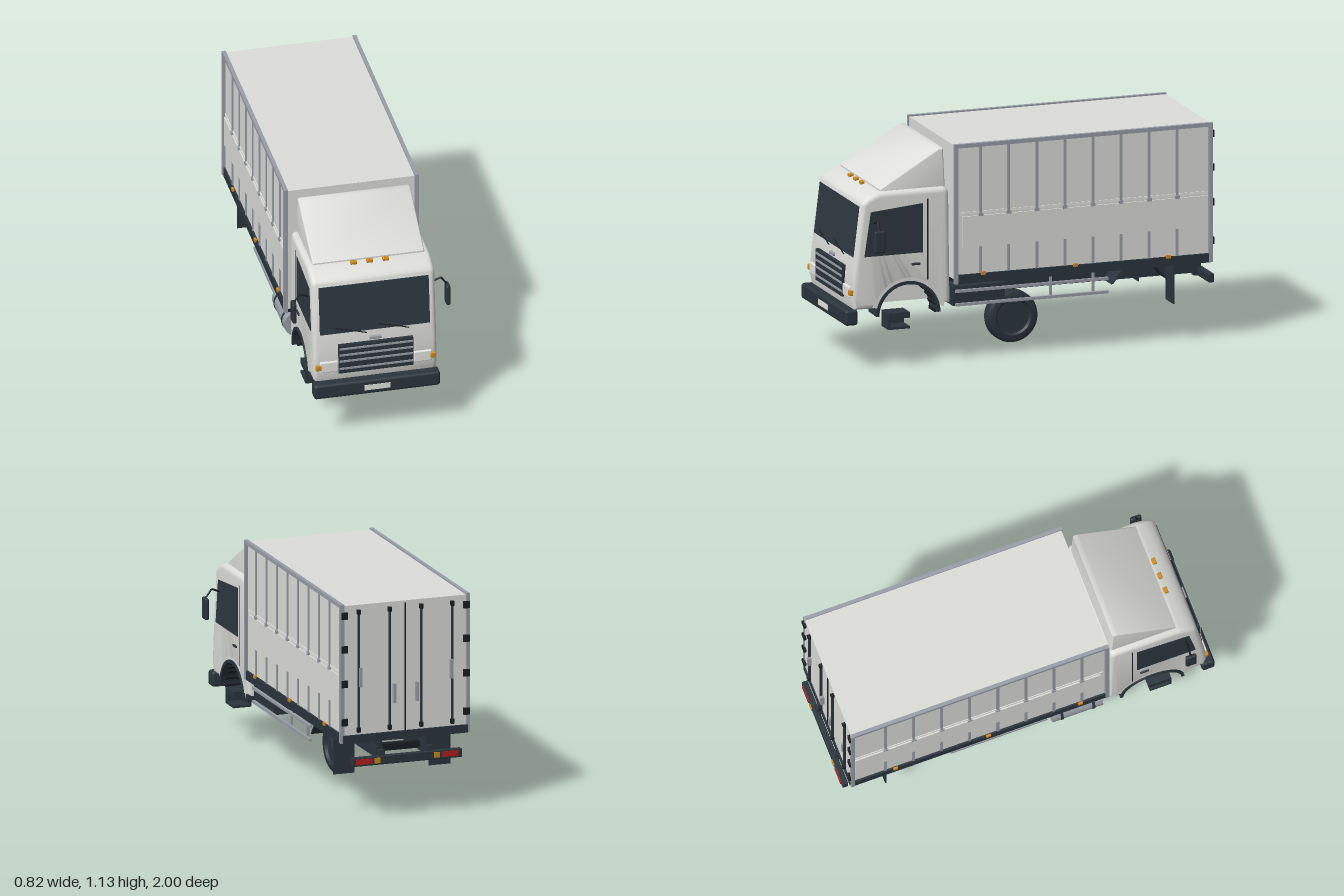
import * as THREE from 'three';
import { toCreasedNormals } from 'three/addons/utils/BufferGeometryUtils.js';
import { RoundedBoxGeometry } from 'three/addons/geometries/RoundedBoxGeometry.js';

const material = (name, color) => {
  const m = new THREE.MeshStandardMaterial({ color });
  m.name = name;
  return m;
};

export function createModel() {
  const white = material('white paint', 0xdededb);
  const dark = material('dark plastic', 0x2b353d);
  const glass = material('tinted glass', 0x2d3840);
  const black = material('black underside', 0x1a1f23);
  const metal = material('grey metal', 0x9a9fa8);
  const orange = material('orange lamp', 0xd08a1c);
  const red = material('red lamp', 0xb3201c);
  const lens = material('clear lens', 0xe6e6e2);

  const truck = new THREE.Group();
  truck.name = 'boxTruck';

  const add = (name, geo, mat, x = 0, y = 0, z = 0) => {
    const mesh = new THREE.Mesh(geo, mat);
    mesh.name = name;
    mesh.position.set(x, y, z);
    truck.add(mesh);
    return mesh;
  };
  // Box given by its extents on each axis
  const box = (name, mat, [x0, x1], [y0, y1], [z0, z1], round = 0) => {
    const size = [Math.abs(x1 - x0), y1 - y0, Math.abs(z1 - z0)];
    const geo = round ? new RoundedBoxGeometry(...size, 3, round) : new THREE.BoxGeometry(...size);
    return add(name, geo, mat, (x0 + x1) / 2, (y0 + y1) / 2, (z0 + z1) / 2);
  };
  // Side profile drawn in (z, y), extruded across x and centred on cx
  const slab = (name, mat, shape, width, cx = 0, bevel = 0) => {
    const geo = new THREE.ExtrudeGeometry(shape, {
      depth: width - 2 * bevel, curveSegments: 20, bevelEnabled: bevel > 0,
      bevelSize: bevel, bevelThickness: bevel, bevelOffset: -bevel, bevelSegments: 4,
    });
    geo.translate(0, 0, bevel - width / 2);
    geo.rotateY(-Math.PI / 2);
    return add(name, toCreasedNormals(geo, 0.6), mat, cx);
  };
  const poly = (pts) => new THREE.Shape(pts.map(([z, y]) => new THREE.Vector2(z, y)));
  const tube = (name, mat, pts, r) => {
    const path = new THREE.CurvePath();
    const v = pts.map((p) => new THREE.Vector3(...p));
    for (let i = 1; i < v.length; i++) path.add(new THREE.LineCurve3(v[i - 1], v[i]));
    return add(name, new THREE.TubeGeometry(path, 16, r, 8), mat);
  };
  const archZ = 0.66, archY = 0.27, archR = 0.165;
  const archBand = (r0, r1, a) => {
    const s = new THREE.Shape();
    s.absarc(archZ, archY, r1, a, Math.PI - a, false);
    s.absarc(archZ, archY, r0, Math.PI - a, a, true);
    return s;
  };

  // Cab shell with wheel arches
  const cab = new THREE.Shape();
  cab.moveTo(0.43, 0.31);
  cab.lineTo(0.5, 0.31);
  cab.absarc(archZ, archY, archR, Math.PI - 0.245, 0.245, true);
  cab.lineTo(0.945, 0.31);
  cab.lineTo(0.96, 0.37);
  cab.lineTo(0.95, 0.5);
  cab.lineTo(0.907, 0.85);
  cab.quadraticCurveTo(0.9, 0.885, 0.81, 0.912);
  cab.lineTo(0.47, 0.912);
  cab.quadraticCurveTo(0.44, 0.91, 0.437, 0.87);
  cab.closePath();
  slab('cab', white, cab, 0.64, 0, 0.025);
  box('cabFloor', white, [-0.2, 0.2], [0.312, 0.46], [0.48, 0.85]);

  // Roof wind deflector
  slab('windDeflector', white,
    poly([[0.45, 0.905], [0.8, 0.905], [0.8, 0.92], [0.485, 1.107], [0.46, 1.107]]), 0.58, 0, 0.008);
  for (const x of [-0.083, 0, 0.083])
    box('roofLamp', orange, [x - 0.016, x + 0.016], [0.905, 0.922], [0.81, 0.832], 0.004);

  // Windscreen and wipers lie on the sloped cab front
  const frontZ = (y) => 0.95 - (y - 0.5) * 0.123;
  slab('windscreen', glass, poly([[frontZ(0.58) - 0.004, 0.58], [frontZ(0.58) + 0.003, 0.58],
    [frontZ(0.84) + 0.003, 0.84], [frontZ(0.84) - 0.004, 0.84]]), 0.57);
  for (const x of [-0.205, 0.015])
    tube('wiper', black, [[x, 0.612, frontZ(0.612) + 0.008], [x + 0.1, 0.588, frontZ(0.588) + 0.009],
      [x + 0.16, 0.57, frontZ(0.57) + 0.008]], 0.003);

  // Grille, bonnet handle, bumper and number plate
  box('grille', dark, [-0.193, 0.193], [0.357, 0.52], [0.93, 0.967]);
  for (const y of [0.385, 0.428, 0.464, 0.5])
    box('grilleSlat', metal, [-0.19, 0.19], [y - 0.005, y + 0.005], [0.955, 0.972]);
  box('bonnetHandle', metal, [-0.03, 0.03], [0.53, 0.546], [0.94, 0.957], 0.003);
  box('frontBumper', dark, [-0.326, 0.326], [0.235, 0.315], [0.93, 0.998], 0.014);
  box('numberPlate', lens, [-0.068, 0.068], [0.26, 0.29], [0.992, 1]);

  for (const s of [1, -1]) {
    // Lamps on the cab front
    box('headlamp', lens, [s * 0.195, s * 0.29], [0.37, 0.43], [0.93, 0.967], 0.006);
    box('frontIndicator', orange, [s * 0.282, s * 0.311], [0.386, 0.414], [0.92, 0.97], 0.004);

    // Doors and side windows
    slab('sideWindow', glass, poly([[0.58, 0.585], [0.895, 0.585], [0.86, 0.815], [0.58, 0.84]]), 0.008, s * 0.319);
    box('doorSeam', black, [s * 0.316, s * 0.3215], [0.44, 0.86], [0.552, 0.557]);
    box('doorHandle', dark, [s * 0.317, s * 0.328], [0.522, 0.534], [0.595, 0.642], 0.003);

    // Wheel arch lip, trim and liner
    slab('archLip', white, archBand(archR, 0.195, 0.25), 0.03, s * 0.3048);
    slab('archTrim', dark, archBand(0.156, 0.172, 0), 0.03, s * 0.312);
    slab('archLiner', dark, archBand(0.157, 0.168, 0), 0.11, s * 0.255);
    for (let i = 0; i <= 12; i++) {
      const a = (i / 12) * Math.PI;
      const rib = box('linerRib', black, [s * 0.205, s * 0.3], [-0.004, 0.004], [-0.007, 0.007]);
      rib.position.y = archY + Math.sin(a) * 0.155;
      rib.position.z = archZ + Math.cos(a) * 0.155;
      rib.rotation.x = Math.PI / 2 - a;
    }

    // Entry step, an open channel
    box('stepTread', dark, [s * 0.22, s * 0.318], [0.195, 0.207], [0.65, 0.765]);
    box('stepBack', dark, [s * 0.22, s * 0.232], [0.2, 0.28], [0.65, 0.765]);
    box('stepFront', dark, [s * 0.22, s * 0.318], [0.2, 0.28], [0.753, 0.765]);
    box('stepShelf', dark, [s * 0.22, s * 0.318], [0.25, 0.28], [0.65, 0.765]);

    // Mirror on a bent arm
    tube('mirrorArm', black, [[s * 0.315, 0.755, 0.84], [s * 0.365, 0.775, 0.84], [s * 0.394, 0.735, 0.84]], 0.005);
    box('mirror', dark, [s * 0.387, s * 0.409], [0.62, 0.733], [0.812, 0.87], 0.009);

    // Chassis rail
    box('chassisRail', dark, [s * 0.115, s * 0.145], [0.31, 0.37], [-0.95, 0.79]);
    box('floorBearer', dark, [s * 0.12, s * 0.14], [0.365, 0.415], [-0.95, 0.43]);

    // Cargo side: frame, ribs and raised band
    for (const z of [-0.958, 0.41])
      box('cornerPost', metal, [s * 0.328, s * 0.349], [0.41, 1.133], [z - 0.01, z + 0.01]);
    box('topRail', metal, [s * 0.328, s * 0.347], [1.113, 1.133], [-0.965, 0.418]);
    box('sideSill', dark, [s * 0.3, s * 0.345], [0.408, 0.455], [-0.955, 0.41]);
    for (let i = 0; i < 8; i++) {
      const z = 0.276 - i * 0.1508;
      box('sideRib', metal, [s * 0.33, s * 0.34], [0.455, 1.115], [z - 0.007, z + 0.007]);
      box('ribFoot', metal, [s * 0.335, s * 0.344], [0.752, 0.768], [z - 0.012, z + 0.012]);
    }
    box('sideBand', white, [s * 0.33, s * 0.342], [0.595, 0.755], [-0.945, 0.375]);
    box('bandRail', lens, [s * 0.33, s * 0.338], [0.765, 0.778], [-0.945, 0.39]);
    for (const z of [0.265, -0.23, -0.73])
      box('sideMarker', orange, [s * 0.34, s * 0.352], [0.448, 0.464], [z - 0.012, z + 0.012]);

    // Side guard rails and hangers
    const guardFront = s > 0 ? 0.4 : 0.1;
    for (const y of [0.292, 0.362])
      box('guardRail', metal, [s * 0.298, s * 0.312], [y - 0.007, y + 0.007], [-0.42, guardFront]);
    for (const z of [-0.115, -0.345])
      box('guardHanger', metal, [s * 0.286, s * 0.298], [0.285, 0.41], [z - 0.006, z + 0.006]);

    // Rear mudguard, flap and bumper bracket
    slab('rearMudguard', dark, poly([[-0.435, 0.33], [-0.5, 0.41], [-0.68, 0.41], [-0.745, 0.33],
      [-0.735, 0.33], [-0.675, 0.402], [-0.505, 0.402], [-0.445, 0.33]]), 0.12, s * 0.25);
    box('mudFlap', dark, [s * 0.2, s * 0.315], [0.2, 0.41], [-0.774, -0.768]);
    box('bumperBracket', dark, [s * 0.115, s * 0.145], [0.295, 0.36], [-0.98, -0.94]);

    // Tail lamps
    box('tailLamp', red, [s * 0.19, s * 0.275], [0.3, 0.328], [-1, -0.97]);
    box('rearIndicator', orange, [s * 0.145, s * 0.175], [0.3, 0.328], [-1, -0.97]);

    // Rear door lock rods, handles and hinges
    for (const x of [0.085, 0.252]) {
      box('lockRod', dark, [s * x - 0.004, s * x + 0.004], [0.47, 1.1], [-0.977, -0.962]);
      for (const y of [0.475, 1.09])
        box('rodCap', black, [s * x - 0.009, s * x + 0.009], [y - 0.012, y + 0.012], [-0.981, -0.962]);
    }
    box('doorPull', metal, [s * 0.245 - 0.007, s * 0.245 + 0.007], [0.7, 0.8], [-0.984, -0.962]);
    box('doorPull', metal, [s * 0.06 - 0.007, s * 0.06 + 0.007], [0.6, 0.7], [-0.984, -0.962]);
    for (const y of [0.52, 0.72, 0.9, 1.075])
      box('hinge', black, [s * 0.312, s * 0.345], [y - 0.018, y + 0.018], [-0.977, -0.955]);
  }

  // Cargo body, floor and end frames
  box('cargoBody', white, [-0.334, 0.334], [0.43, 1.126], [-0.964, 0.415]);
  box('cargoFloor', black, [-0.33, 0.33], [0.41, 0.432], [-0.962, 0.412]);
  box('rearSill', dark, [-0.335, 0.335], [0.408, 0.45], [-0.972, -0.95]);
  box('doorSeam', black, [-0.004, 0.004], [0.45, 1.115], [-0.967, -0.96]);
  box('rearBumper', dark, [-0.295, 0.295], [0.29, 0.335], [-0.995, -0.965], 0.004);
  for (const z of [-0.85, -0.45, -0.2, 0.1, 0.4])
    box('crossMember', black, [-0.12, 0.12], [0.325, 0.36], [z - 0.02, z + 0.02]);

  // Battery box on the left, fuel tank on the right
  box('batteryBox', dark, [0.17, 0.298], [0.285, 0.385], [0.13, 0.41]);
  const tank = add('fuelTank', toCreasedNormals(new THREE.CylinderGeometry(0.07, 0.07, 0.27, 32), 0.6),
    metal, -0.272, 0.32, 0.255);
  tank.rotation.x = Math.PI / 2;
  for (const z of [0.17, 0.34]) {
    const strap = add('tankStrap', new THREE.CylinderGeometry(0.073, 0.073, 0.014, 32), dark, -0.272, 0.32, z);
    strap.rotation.x = Math.PI / 2;
  }

  // Single wheel under the chassis
  const tyre = [[0, -0.03], [0.085, -0.03], [0.095, -0.042], [0.118, -0.042], [0.131, -0.034], [0.135, -0.022],
    [0.135, 0.022], [0.131, 0.034], [0.118, 0.042], [0.095, 0.042], [0.085, 0.03], [0, 0.03]];
  const wheel = add('wheel', toCreasedNormals(
    new THREE.LatheGeometry(tyre.map(([r, h]) => new THREE.Vector2(r, h)), 40), 0.6), dark, 0, 0.135, -0.01);
  wheel.rotation.z = Math.PI / 2;

  return truck;
}
